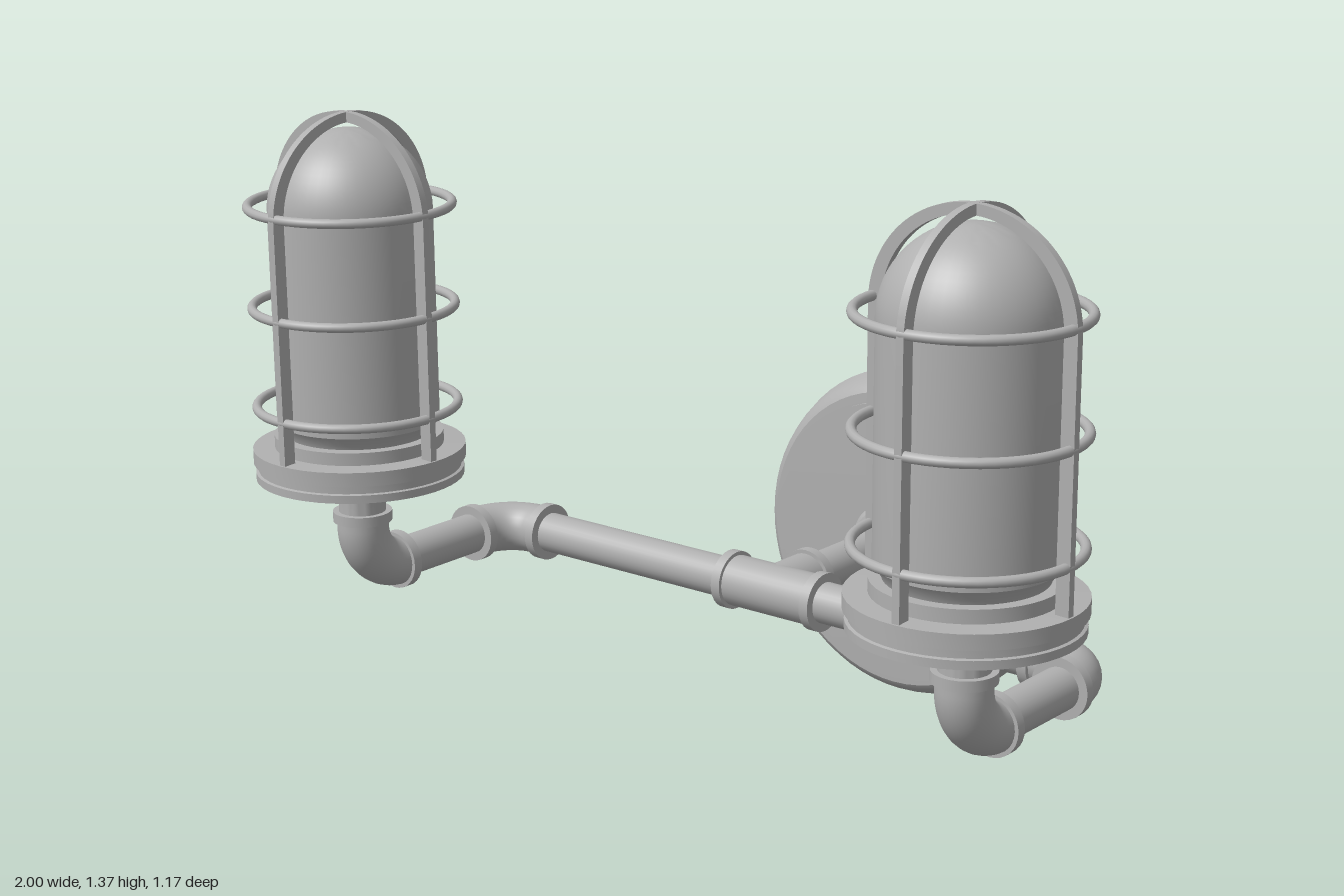
import * as THREE from 'three';
import { toCreasedNormals } from 'three/addons/utils/BufferGeometryUtils.js';

const metal = new THREE.MeshStandardMaterial({ color: 0xb0b0b0 });
metal.name = 'grey metal';

const V = (x, y, z) => new THREE.Vector3(x, y, z);
const PIPE_Y = 0.38, BAR_Z = -0.083, LAMP_X = 0.777, LAMP_Z = 0.363;
const PIPE_R = 0.044, JOINT_R = 0.055, COLLAR_R = 0.063, COLLAR_W = 0.022;

function part(parent, name, geometry) {
  const mesh = new THREE.Mesh(geometry, metal);
  mesh.name = name;
  parent.add(mesh);
  return mesh;
}

// Solid of revolution with crisp edges, from [radius, height] pairs
function turned(parent, name, points, segments = 48) {
  const profile = points.map(([r, y]) => new THREE.Vector2(r, y));
  return part(parent, name, toCreasedNormals(new THREE.LatheGeometry(profile, segments), 0.5));
}

// Cylinder between two points
function rod(parent, name, a, b, r, r2 = r, sides = 32) {
  const mesh = part(parent, name, new THREE.CylinderGeometry(r2, r, a.distanceTo(b), sides));
  mesh.position.copy(a).add(b).multiplyScalar(0.5);
  mesh.quaternion.setFromUnitVectors(V(0, 1, 0), b.clone().sub(a).normalize());
  return mesh;
}

// Collar whose outer face is at `end`, facing away from `inner`
function collar(parent, end, inner) {
  const back = inner.clone().sub(end).setLength(COLLAR_W).add(end);
  rod(parent, 'collar', back, end, COLLAR_R);
}

// Right-angle pipe joint with a collar at each end
function elbow(parent, name, from, corner, to, bend) {
  const group = new THREE.Group();
  group.name = name;
  const toward = (p, d) => p.clone().sub(corner).setLength(d).add(corner);
  const a = toward(from, bend), b = toward(to, bend);
  const path = new THREE.CurvePath();
  path.add(new THREE.LineCurve3(from, a));
  path.add(new THREE.CubicBezierCurve3(a, toward(from, bend * 0.45), toward(to, bend * 0.45), b));
  path.add(new THREE.LineCurve3(b, to));
  part(group, 'elbowBody', new THREE.TubeGeometry(path, 32, JOINT_R, 28));
  collar(group, from, corner);
  collar(group, to, corner);
  parent.add(group);
}

// Flat wire arch: straight legs joined by a rounded top
function hoopGeometry() {
  const base = 0.66, spring = 1.17, depth = 0.016;
  const shape = new THREE.Shape();
  shape.moveTo(0.22, base);
  shape.lineTo(0.22, spring);
  shape.absellipse(0, spring, 0.22, 0.205, 0, Math.PI, false);
  shape.lineTo(-0.22, base);
  shape.lineTo(-0.192, base);
  shape.lineTo(-0.192, spring);
  shape.absellipse(0, spring, 0.192, 0.184, Math.PI, 0, true);
  shape.lineTo(0.192, base);
  shape.closePath();
  const geometry = new THREE.ExtrudeGeometry(shape, { depth, bevelEnabled: false, curveSegments: 32 });
  geometry.translate(0, 0, -depth / 2);
  return toCreasedNormals(geometry, 0.5);
}

function lamp() {
  const group = new THREE.Group();
  group.name = 'lamp';

  // Flared fitting and stepped base
  turned(group, 'lampBase', [
    [0, 0.5], [0.05, 0.5], [0.05, 0.555], [0.066, 0.565], [0.12, 0.585], [0.125, 0.598],
    [0.22, 0.598], [0.22, 0.615], [0.214, 0.617], [0.214, 0.633], [0.224, 0.635],
    [0.224, 0.665], [0.178, 0.667], [0.178, 0.694], [0, 0.694],
  ]);

  // Domed globe
  const globe = [[0, 0.69], [0.152, 0.69], [0.156, 0.702], [0.171, 0.722]];
  for (let i = 0; i <= 16; i++) {
    const t = (i / 16) * Math.PI / 2;
    globe.push([i === 16 ? 0 : 0.171 * Math.cos(t), 1.17 + 0.171 * Math.sin(t)]);
  }
  turned(group, 'globe', globe);

  // Guard cage: two crossed hoops and three rings
  const hoop = hoopGeometry();
  for (const turn of [0, Math.PI / 2]) part(group, 'cageHoop', hoop).rotation.y = turn;
  const ring = new THREE.TorusGeometry(0.211, 0.01, 12, 56);
  for (const y of [0.755, 0.968, 1.182]) {
    const mesh = part(group, 'cageRing', ring);
    mesh.position.y = y;
    mesh.rotation.x = Math.PI / 2;
  }
  return group;
}

export function createModel() {
  const model = new THREE.Group();
  model.name = 'wallLight';

  // Wall plate with rounded rim and raised disc, axis turned to +z
  const plate = turned(model, 'wallPlate', [
    [0, 0], [0.377, 0], [0.373, 0.012], [0.367, 0.03], [0.358, 0.05], [0.348, 0.063],
    [0.337, 0.07], [0.314, 0.071], [0.314, 0.08], [0, 0.08],
  ], 64);
  plate.rotation.x = Math.PI / 2;
  plate.position.set(0, PIPE_Y, -0.587);

  // Hexagonal nut and rounded boss
  const nut = part(model, 'hexNut', toCreasedNormals(new THREE.CylinderGeometry(0.136, 0.136, 0.022, 6), 0.5));
  nut.rotation.x = Math.PI / 2;
  nut.position.set(0, PIPE_Y, -0.499);
  const boss = turned(model, 'boss', [[0.088, 0], [0.088, 0.012], [0.078, 0.024], [0.062, 0.03], [0, 0.031]]);
  boss.rotation.x = Math.PI / 2;
  boss.position.set(0, PIPE_Y, -0.49);

  // Stem from the wall to the tee
  rod(model, 'stemPipe', V(0, PIPE_Y, -0.48), V(0, PIPE_Y, -0.18), PIPE_R);

  // Tee joint
  const tee = new THREE.Group();
  tee.name = 'teeJoint';
  model.add(tee);
  const centre = V(0, PIPE_Y, BAR_Z), branch = V(0, PIPE_Y, -0.205);
  rod(tee, 'teeBody', V(-0.125, PIPE_Y, BAR_Z), V(0.125, PIPE_Y, BAR_Z), JOINT_R);
  rod(tee, 'teeBranch', centre, branch, JOINT_R);
  collar(tee, branch, centre);

  // Arms and lamps, mirrored
  for (const s of [1, -1]) {
    const side = s > 0 ? 'left' : 'right';
    const at = (x, y, z) => V(s * x, y, z);
    collar(tee, at(0.128, PIPE_Y, BAR_Z), centre);
    rod(model, side + 'CrossPipe', at(0.11, PIPE_Y, BAR_Z), at(0.66, PIPE_Y, BAR_Z), PIPE_R);
    elbow(model, side + 'RearElbow',
      at(0.642, PIPE_Y, BAR_Z), at(LAMP_X, PIPE_Y, BAR_Z), at(LAMP_X, PIPE_Y, 0.036), 0.095);
    rod(model, side + 'ArmPipe', at(LAMP_X, PIPE_Y, 0.01), at(LAMP_X, PIPE_Y, 0.28), PIPE_R);
    elbow(model, side + 'FrontElbow',
      at(LAMP_X, PIPE_Y, 0.253), at(LAMP_X, PIPE_Y, LAMP_Z), at(LAMP_X, 0.517, LAMP_Z), 0.1);
    const light = lamp();
    light.name = side + 'Lamp';
    light.position.set(s * LAMP_X, 0, LAMP_Z);
    model.add(light);
  }
  return model;
}
